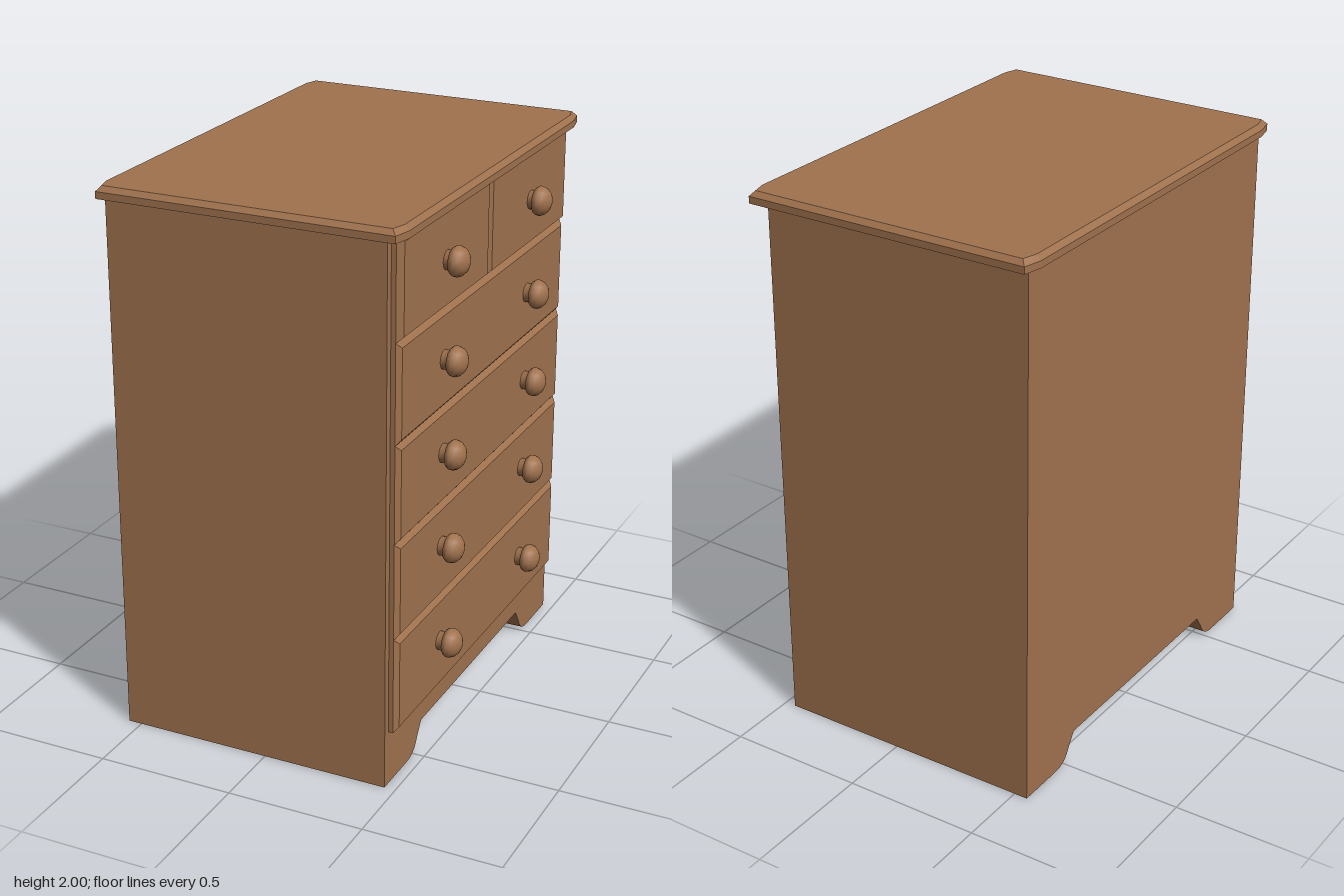
import * as THREE from 'three';

const wood = new THREE.MeshStandardMaterial({ color: 0xa0724e });
wood.name = 'brown wood';

// Joins closed rings of corners (anticlockwise seen from the last ring) and caps both ends.
function loft(rings) {
  const pos = [];
  const n = rings[0].length;
  const tri = (...corners) => corners.forEach((c) => pos.push(...c));
  for (let r = 0; r < rings.length - 1; r++) {
    for (let i = 0; i < n; i++) {
      const j = (i + 1) % n;
      const a = rings[r][i], b = rings[r][j], c = rings[r + 1][j], d = rings[r + 1][i];
      tri(a, b, c);
      tri(a, c, d);
    }
  }
  const first = rings[0], last = rings[rings.length - 1];
  for (let i = 1; i < n - 1; i++) {
    tri(first[0], first[i + 1], first[i]);
    tri(last[0], last[i], last[i + 1]);
  }
  const geometry = new THREE.BufferGeometry();
  geometry.setAttribute('position', new THREE.Float32BufferAttribute(pos, 3));
  geometry.computeVertexNormals();
  return geometry;
}

function add(group, name, geometry) {
  const mesh = new THREE.Mesh(geometry, wood);
  mesh.name = name;
  group.add(mesh);
  return mesh;
}

// Cabinet body: the profile with its arched plinth runs the full depth.
function bodyGeometry() {
  const s = new THREE.Shape();
  s.moveTo(-0.74, 0);
  s.lineTo(-0.56, 0);
  s.bezierCurveTo(-0.5, 0, -0.485, 0.03, -0.47, 0.06);
  s.lineTo(-0.44, 0.105);
  s.lineTo(0.44, 0.105);
  s.lineTo(0.47, 0.06);
  s.bezierCurveTo(0.485, 0.03, 0.5, 0, 0.56, 0);
  s.lineTo(0.74, 0);
  s.lineTo(0.74, 1.957);
  s.lineTo(-0.74, 1.957);
  const g = new THREE.ExtrudeGeometry(s, { depth: 1.01, bevelEnabled: false, curveSegments: 10 });
  return g.rotateY(Math.PI / 2).translate(-0.55, 0, 0);
}

// Top board: clipped corners and a bevelled upper edge.
function topGeometry() {
  const ring = (y, inset) => {
    const x = 0.548 - inset, z = 0.78 - inset, xc = x - 0.015, zc = 0.71;
    return [[-xc, z], [xc, z], [x, zc], [x, -zc], [xc, -z], [-xc, -z], [-x, -zc], [-x, zc]]
      .map(([px, pz]) => [px - 0.028, y, pz]);
  };
  return loft([ring(1.957, 0), ring(1.982, 0), ring(2, 0.016)]);
}

// Drawer front: a panel whose edges slope in towards its face.
function drawerGeometry(y0, y1, z0, z1, face) {
  const ring = (x, i) => [
    [x, y0 + i, z1 - i], [x, y0 + i, z0 + i], [x, y1 - i, z0 + i], [x, y1 - i, z1 - i],
  ];
  return loft([ring(0.45, 0), ring(0.477, 0), ring(face, 0.018)]);
}

// Turned knob: a short neck and a flattened ball, pointing along x.
function knobGeometry() {
  const profile = [
    [0.034, 0], [0.034, 0.022], [0.045, 0.026], [0.052, 0.036], [0.053, 0.046],
    [0.047, 0.062], [0.034, 0.075], [0.018, 0.082], [0, 0.084],
  ].map(([r, h]) => new THREE.Vector2(r, h));
  return new THREE.LatheGeometry(profile, 14).rotateZ(-Math.PI / 2);
}

export function createModel() {
  const model = new THREE.Group();
  model.name = 'chestOfDrawers';
  add(model, 'cabinetBody', bodyGeometry());
  add(model, 'topBoard', topGeometry());

  // Four wide drawers below a pair of half-width ones
  const edges = [0.203, 0.557, 0.907, 1.257, 1.607, 1.957];
  const knobHeights = [0.39, 0.755, 1.1, 1.435, 1.78];
  const knob = knobGeometry();
  knobHeights.forEach((height, row) => {
    const [y0, y1] = [edges[row], edges[row + 1]];
    if (row < 4) {
      add(model, 'wideDrawer', drawerGeometry(y0, y1, -0.712, 0.712, 0.492));
    } else {
      add(model, 'smallDrawerRight', drawerGeometry(y0, y1, -0.712, 0, 0.497));
      add(model, 'smallDrawerLeft', drawerGeometry(y0, y1, 0, 0.712, 0.497));
    }
    for (const z of [-0.363, 0.363]) {
      add(model, 'knob', knob).position.set(0.49, height, z);
    }
  });
  return model;
}
